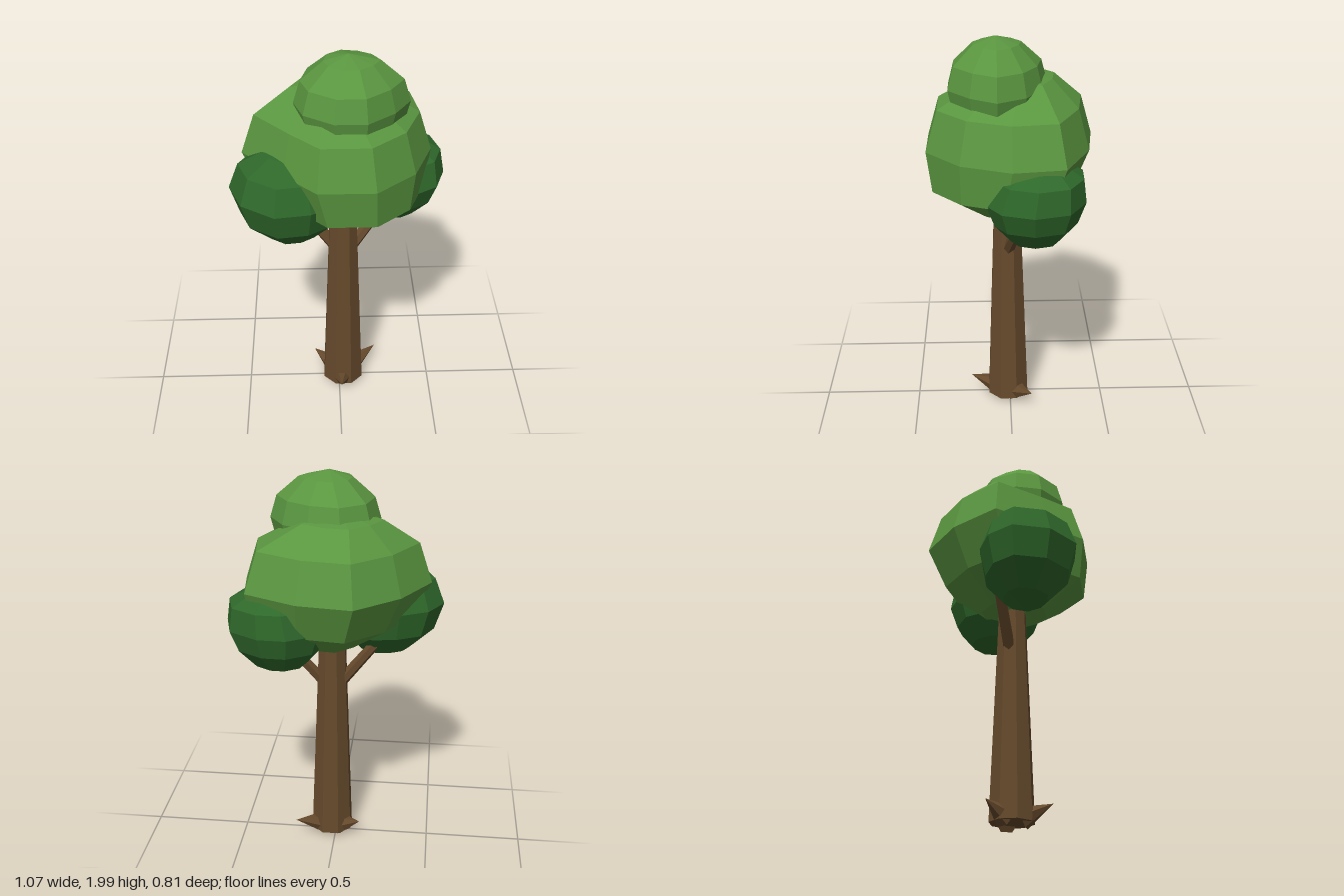
import * as THREE from 'three';

// Faceted copy of a geometry: every face gets its own normal
function faceted(geometry) {
  const flat = geometry.index ? geometry.toNonIndexed() : geometry;
  flat.computeVertexNormals();
  return flat;
}

// Leaf clump: an outline seen from above, scaled about a centre at each height
function clumpGeometry([cx, cz], outline, bottomY, rings, topY, tip = [cx, cz]) {
  const n = outline.length;
  const pos = [cx, bottomY, cz];
  const index = [];
  for (const [y, s, dx = 0, dz = 0] of rings)
    for (const [x, z] of outline)
      pos.push(cx + (x - cx) * s + dx, y, cz + (z - cz) * s + dz);
  pos.push(tip[0], topY, tip[1]);
  const last = pos.length / 3 - 1;
  const at = (r, j) => 1 + r * n + (j % n);
  for (let j = 0; j < n; j++) {
    index.push(0, at(0, j), at(0, j + 1));
    for (let r = 0; r < rings.length - 1; r++) {
      const a = at(r, j), b = at(r, j + 1), c = at(r + 1, j + 1), d = at(r + 1, j);
      index.push(a, d, c, a, c, b);
    }
    index.push(at(rings.length - 1, j), last, at(rings.length - 1, j + 1));
  }
  const g = new THREE.BufferGeometry();
  g.setAttribute('position', new THREE.Float32BufferAttribute(pos, 3));
  g.setIndex(index);
  return faceted(g);
}

// Tapered limb between two points
function limbGeometry(from, to, r0, r1, sides) {
  const a = new THREE.Vector3(...from), b = new THREE.Vector3(...to);
  const dir = b.clone().sub(a);
  const g = new THREE.CylinderGeometry(r1, r0, dir.length(), sides);
  g.rotateY(Math.PI / sides);
  g.applyQuaternion(new THREE.Quaternion().setFromUnitVectors(
    new THREE.Vector3(0, 1, 0), dir.normalize()));
  g.translate(...a.add(b).multiplyScalar(0.5).toArray());
  return faceted(g);
}

export function createModel() {
  const tree = new THREE.Group();
  tree.name = 'tree';
  const material = (name, color) => {
    const m = new THREE.MeshStandardMaterial({ color });
    m.name = name;
    return m;
  };
  const bark = material('bark brown', 0x664a2c);
  const lightLeaf = material('light leaf green', 0x5a9640);
  const darkLeaf = material('dark leaf green', 0x2f682b);
  const add = (name, geometry, mat) => {
    const mesh = new THREE.Mesh(geometry, mat);
    mesh.name = name;
    tree.add(mesh);
  };

  // Trunk and branches
  add('trunk', limbGeometry([0.022, 0.035, 0.01], [0.02, 1.2, 0.015], 0.113, 0.069, 8), bark);
  add('rightBranch', limbGeometry([0, 0.88, 0.01], [-0.26, 1.22, -0.02], 0.032, 0.026, 6), bark);
  add('leftBranch', limbGeometry([0.05, 0.89, 0.015], [0.25, 1.15, -0.05], 0.032, 0.024, 6), bark);

  // Three pointed roots around the foot
  for (const [x, z] of [[0.205, -0.11], [0.01, 0.21], [-0.135, -0.09]]) {
    const dx = x - 0.02, dz = z - 0.01, d = Math.hypot(dx, dz);
    const foot = [0.02 + dx / d * 0.05, 0.056, 0.01 + dz / d * 0.05];
    add('root', limbGeometry(foot, [x, 0.118, z], 0.06, 0, 6), bark);
  }

  // Main crown
  add('mainCrown', clumpGeometry([0, 0],
    [[0.445, 0], [0.35, 0.24], [0.16, 0.405], [-0.11, 0.405], [-0.27, 0.24],
      [-0.47, 0.01], [-0.33, -0.23], [-0.12, -0.41], [0.15, -0.375], [0.41, -0.25]],
    1.12, [[1.14, 0.4, 0.04, 0.02], [1.27, 0.86, 0.03, 0.03], [1.47, 1],
      [1.67, 0.86], [1.79, 0.43, -0.03, -0.04]], 1.83), lightLeaf);

  // Small clump on top
  add('topCrown', clumpGeometry([0.055, 0.065],
    [[0.33, 0.065], [0.25, 0.19], [0.12, 0.295], [-0.03, 0.295], [-0.17, 0.2],
      [-0.215, 0.07], [-0.175, -0.085], [-0.04, -0.18], [0.12, -0.15], [0.25, -0.07]],
    1.58, [[1.65, 0.9], [1.76, 1], [1.87, 0.88], [1.965, 0.48]], 2, [0.04, 0.07]), lightLeaf);

  // Lower side clumps
  add('rightCrown', clumpGeometry([-0.23, 0.11],
    [[0.06, 0.12], [-0.01, 0.27], [-0.14, 0.36], [-0.31, 0.385], [-0.47, 0.275],
      [-0.535, 0.1], [-0.46, -0.03], [-0.32, -0.1], [-0.18, -0.12], [-0.02, -0.04]],
    1.04, [[1.08, 0.45], [1.19, 0.85], [1.33, 1], [1.46, 0.84], [1.53, 0.42]], 1.55), darkLeaf);
  add('leftCrown', clumpGeometry([0.26, -0.12],
    [[0.53, -0.1], [0.48, 0.05], [0.37, 0.12], [0.22, 0.12], [0.07, 0.04],
      [0, -0.1], [0.06, -0.27], [0.2, -0.355], [0.34, -0.35], [0.485, -0.265]],
    1.055, [[1.07, 0.5], [1.17, 0.84], [1.28, 1], [1.4, 0.87, 0.015, -0.015],
      [1.46, 0.45, 0.02, -0.02]], 1.48), darkLeaf);

  return tree;
}
